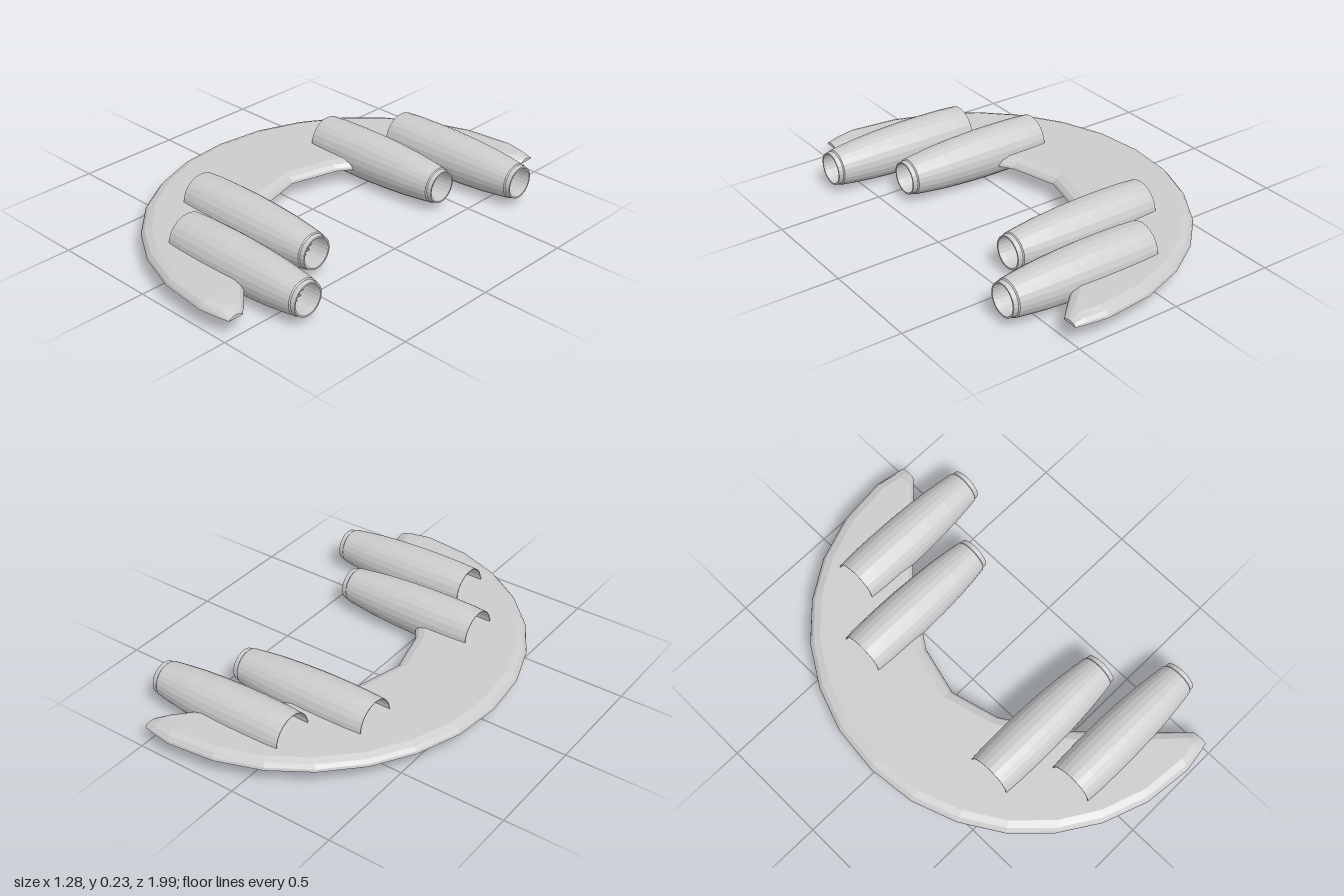
import * as THREE from 'three';

const makeMaterial = () => new THREE.MeshStandardMaterial({ color: 0xcccccc, flatShading: true, side: THREE.DoubleSide });

// Crescent plate lofted from one tip to the other; the edges are chamfered
function crescentGeometry() {
  // outer x, outer z, inner x, inner z, top height
  const half = [
    [-0.64, 0, -0.13, 0, 0.125],
    [-0.615, 0.23, -0.07, 0.23, 0.125],
    [-0.54, 0.44, -0.03, 0.29, 0.125],
    [-0.425, 0.625, 0.04, 0.41, 0.125],
    [-0.27, 0.78, 0.115, 0.505, 0.125],
    [-0.09, 0.895, 0.17, 0.565, 0.125],
    [0.12, 0.97, 0.27, 0.67, 0.125],
    [0.35, 0.995, 0.39, 0.79, 0.125],
    [0.45, 0.98, 0.45, 0.848, 0.118],
    [0.497, 0.97, 0.497, 0.897, 0.1],
  ];
  const mirrored = half.slice(1).reverse().map(([a, b, c, d, h]) => [a, -b, c, -d, h]);
  const stations = [...mirrored, ...half];
  const base = 0.085;
  // inset from the edge, share of the height
  const edge = [[0, 0], [0.004, 0.3], [0.018, 0.7], [0.05, 1]];
  const positions = [];
  const index = [];
  for (const [ox, oz, ix, iz, top] of stations) {
    const width = Math.hypot(ix - ox, iz - oz);
    const put = (f, k) => positions.push(ox + (ix - ox) * f, base + (top - base) * k, oz + (iz - oz) * f);
    const share = (d) => Math.min(d / width, d * 8);
    edge.forEach(([d, k]) => put(share(d), k));
    [...edge].reverse().forEach(([d, k]) => put(1 - share(d), k));
  }
  const n = edge.length * 2;
  const last = (stations.length - 1) * n;
  for (let i = 0; i < stations.length - 1; i++) {
    for (let j = 0; j < n; j++) {
      const a = i * n + j;
      const b = i * n + ((j + 1) % n);
      index.push(a, a + n, b, b, a + n, b + n);
    }
  }
  for (let j = 1; j < n - 1; j++) {
    index.push(0, j, j + 1, last, last + j + 1, last + j);
  }
  const geometry = new THREE.BufferGeometry();
  geometry.setAttribute('position', new THREE.Float32BufferAttribute(positions, 3));
  geometry.setIndex(index);
  geometry.computeVertexNormals();
  return geometry;
}

// Hollow tapered engine built along +y, then laid along +x
function createEngine(material) {
  const engine = new THREE.Group();
  engine.name = 'engine';
  const add = (geometry, name, y = 0) => {
    const mesh = new THREE.Mesh(geometry, material);
    mesh.name = name;
    mesh.position.y = y;
    engine.add(mesh);
    return mesh;
  };

  // Outer skin, rounded lip and inner wall
  const profile = [
    [0.104, 0], [0.108, 0], [0.113, 0.08], [0.115, 0.2], [0.1145, 0.3], [0.11, 0.42],
    [0.102, 0.54], [0.092, 0.63], [0.084, 0.69], [0.079, 0.695], [0.077, 0.717],
    [0.07, 0.717], [0.068, 0.69], [0.07, 0.61], [0.1, 0.4], [0.108, 0.2], [0.104, 0],
  ].map(([r, y]) => new THREE.Vector2(r, y));
  add(new THREE.LatheGeometry(profile, 24), 'engineShell');

  // Fan: backing disc, radial blades and pointed hub
  add(new THREE.CylinderGeometry(0.071, 0.071, 0.006, 24), 'fanDisc', 0.61);
  const blades = new THREE.Group();
  blades.name = 'fanBlades';
  blades.position.y = 0.62;
  for (let i = 0; i < 16; i++) {
    const pivot = new THREE.Group();
    pivot.rotation.y = (i / 16) * Math.PI * 2;
    const blade = new THREE.Mesh(new THREE.BoxGeometry(0.056, 0.003, 0.014), material);
    blade.name = 'fanBlade';
    blade.position.x = 0.041;
    blade.rotation.x = 0.6;
    pivot.add(blade);
    blades.add(pivot);
  }
  engine.add(blades);
  add(new THREE.ConeGeometry(0.018, 0.05, 12), 'fanHub', 0.637);

  engine.rotation.z = -Math.PI / 2;
  return engine;
}

export function createModel() {
  const model = new THREE.Group();
  model.name = 'crescentCraft';
  const material = makeMaterial();

  const plate = new THREE.Mesh(crescentGeometry(), material);
  plate.name = 'crescentPlate';
  model.add(plate);

  // Two engines on each arm, the outer ones set further along +x
  for (const [x, z] of [[-0.3, 0.4], [-0.075, 0.678], [-0.3, -0.407], [-0.075, -0.686]]) {
    const engine = createEngine(material);
    engine.position.set(x, 0.118, z);
    model.add(engine);
  }
  return model;
}
